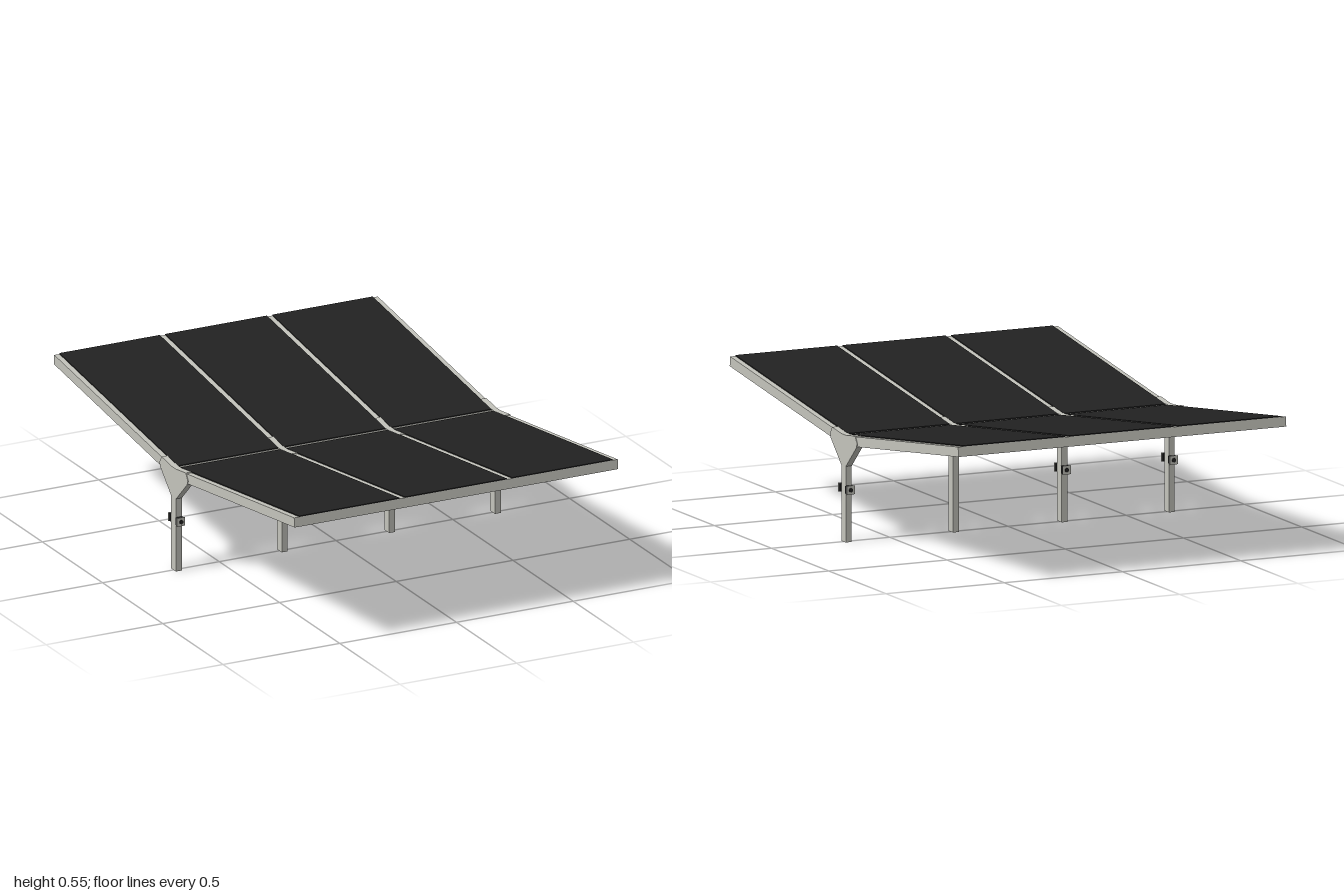
import * as THREE from 'three';

const mat = (name, color) => {
  const m = new THREE.MeshStandardMaterial({ color });
  m.name = name;
  return m;
};

export function createModel() {
  const frameGrey = mat('frameGrey', 0xc4c4bc);
  const panelBlack = mat('panelBlack', 0x222222);
  const model = new THREE.Group();

  const add = (parent, name, geometry, material) => {
    const mesh = new THREE.Mesh(geometry, material);
    mesh.name = name;
    parent.add(mesh);
    return mesh;
  };

  // Extrudes a [z, y] outline across x, centred on the given x
  const across = (points, x, width) => {
    const shape = new THREE.Shape(points.map(([z, y]) => new THREE.Vector2(z, y)));
    return new THREE.ExtrudeGeometry(shape, { depth: width, bevelEnabled: false })
      .rotateY(-Math.PI / 2)
      .translate(x + width / 2, 0, 0);
  };

  // Two sloping roof wings with a narrow drainage gap between them
  for (const side of [1, -1]) {
    const wing = new THREE.Group();
    wing.name = side > 0 ? 'frontWing' : 'backWing';
    model.add(wing);
    const flip = (points) => points.map(([z, y]) => [z * side, y]);
    add(wing, 'roofSlab', across(flip([[0.01, 0.373], [1, 0.504], [0.996, 0.542], [0.01, 0.412]]), 0, 1.386), frameGrey);

    // Three columns of solar panels leave light strips over the posts
    const panel = flip([[0.01, 0.412], [0.996, 0.542], [0.996, 0.546], [0.01, 0.416]]);
    for (const [x, width] of [[-0.456, 0.43], [0, 0.436], [0.456, 0.43]]) {
      add(wing, 'solarPanel', across(panel, x, width), panelBlack);
    }
  }

  // Posts with flared heads
  const half = [[0.02, 0], [0.02, 0.295], [0.112, 0.383], [0.118, 0.4], [0.1, 0.427], [0.02, 0.416]];
  const outline = [...half, ...half.map(([z, y]) => [-z, y]).reverse()];
  for (const x of [-0.683, -0.23, 0.23, 0.683]) {
    const support = new THREE.Group();
    support.name = 'support';
    model.add(support);
    add(support, 'post', across(outline, x, 0.025), frameGrey);
    if (x === 0.23) continue;

    // Charging sockets on the front and back of the post
    for (const side of [1, -1]) {
      const box = (name, w, h, d, z, material) =>
        add(support, name, new THREE.BoxGeometry(w, h, d), material).position.set(x, 0.205, z * side);
      box('socketBox', 0.03, 0.03, 0.014, 0.027, panelBlack);
      box('socketPlate', 0.034, 0.034, 0.004, 0.036, frameGrey);
      const socket = new THREE.CylinderGeometry(0.008, 0.008, 0.004, 16).rotateX(Math.PI / 2);
      add(support, 'socket', socket, panelBlack).position.set(x, 0.205, 0.04 * side);
    }
  }

  return model;
}
